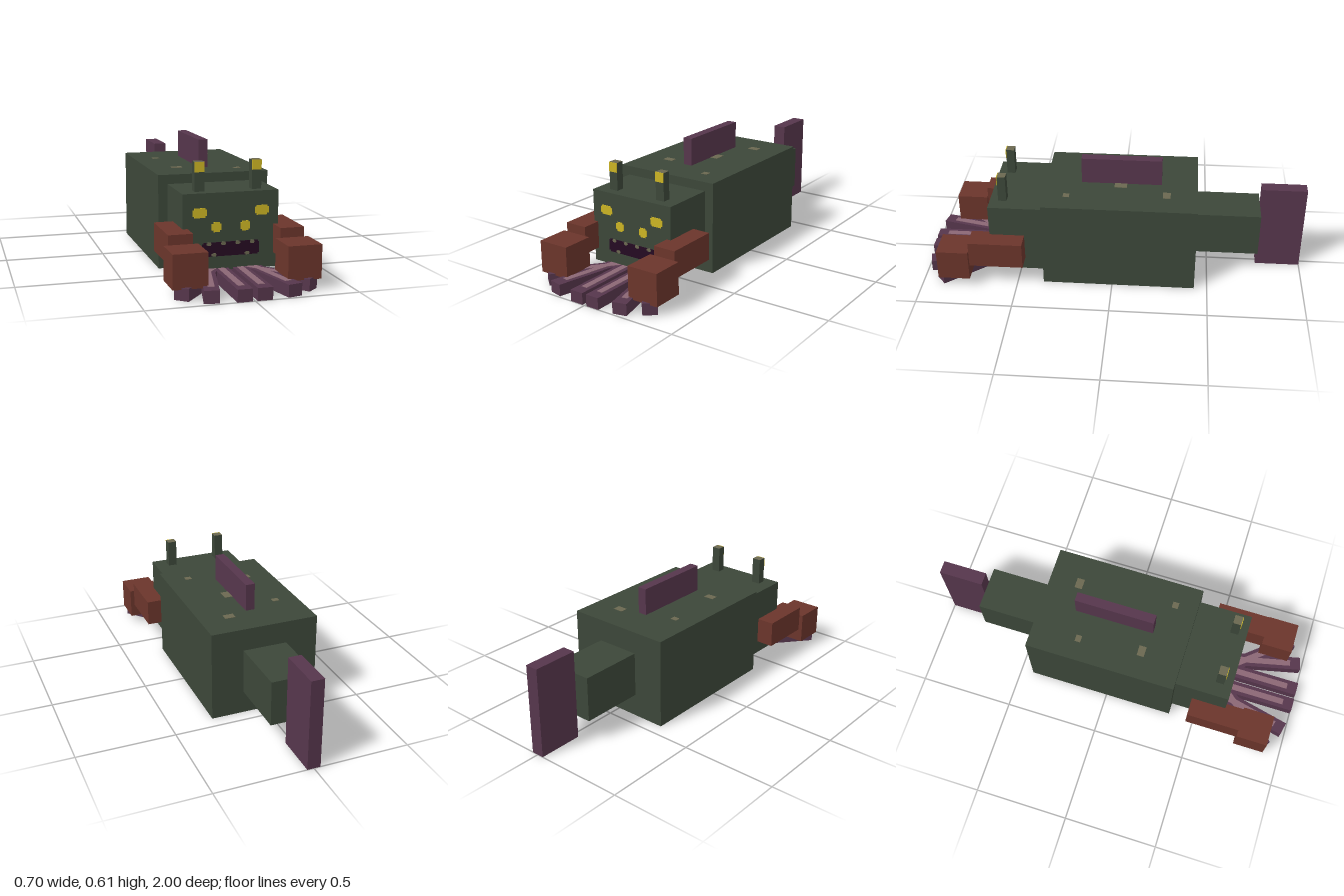
import * as THREE from 'three';

const mat = (name, color) => {
  const m = new THREE.MeshStandardMaterial({ color });
  m.name = name;
  return m;
};

export function createModel() {
  const green = mat('darkGreen', 0x3c4739);
  const purple = mat('purple', 0x56364c);
  const red = mat('rustRed', 0x6b352b);
  const yellow = mat('yellow', 0xccb524);
  const mouthDark = mat('mouthDark', 0x250b22);
  const tan = mat('tan', 0x6b6850);
  const pink = mat('mauvePink', 0x8a6674);

  const model = new THREE.Group();
  model.name = 'seaCreature';

  // Box from its extents; optional materials for top and bottom faces
  const box = (name, m, [x0, x1], [y0, y1], [z0, z1], { top = m, bottom = m, parent = model } = {}) => {
    const g = new THREE.BoxGeometry(x1 - x0, y1 - y0, z1 - z0);
    const mesh = new THREE.Mesh(g, top === m && bottom === m ? m : [m, m, top, bottom, m, m]);
    mesh.position.set((x0 + x1) / 2, (y0 + y1) / 2, (z0 + z1) / 2);
    mesh.name = name;
    parent.add(mesh);
    return mesh;
  };

  // Thin plate with notched corners, facing +z
  const plate = (name, m, cx, cy, w, h, notch, z) => {
    const a = w / 2, b = h / 2, n = notch;
    const pts = [[a, -b + n], [a, b - n], [a - n, b - n], [a - n, b], [-a + n, b], [-a + n, b - n],
      [-a, b - n], [-a, -b + n], [-a + n, -b + n], [-a + n, -b], [a - n, -b], [a - n, -b + n]];
    const shape = new THREE.Shape(pts.map(p => new THREE.Vector2(...p)));
    const mesh = new THREE.Mesh(new THREE.ExtrudeGeometry(shape, { depth: 0.003, bevelEnabled: false }), m);
    mesh.position.set(cx, cy, z);
    mesh.name = name;
    model.add(mesh);
  };

  // Trunk, head, tail and fins
  box('body', green, [-0.283, 0.283], [0, 0.47], [-0.432, 0.363], { bottom: tan });
  box('head', green, [-0.236, 0.236], [0.05, 0.424], [0.363, 0.645], { bottom: tan });
  box('tail', green, [-0.115, 0.115], [0.12, 0.354], [-0.765, -0.432], { bottom: tan });
  box('tailFin', purple, [-0.034, 0.034], [0, 0.47], [-1, -0.765]);
  box('backFin', purple, [-0.024, 0.024], [0.47, 0.612], [-0.243, 0.177]);

  // Spots on the back
  for (const [x, z, w, d] of [[-0.167, -0.182, 0.036, 0.03], [0.127, -0.272, 0.055, 0.04],
    [0.044, -0.03, 0.042, 0.065], [-0.135, 0.15, 0.055, 0.038], [0.16, 0.245, 0.034, 0.032]]) {
    box('backSpot', tan, [x - w / 2, x + w / 2], [0.468, 0.472], [z - d / 2, z + d / 2]);
  }

  // Mouth and teeth
  plate('mouth', mouthDark, 0, 0.153, 0.283, 0.068, 0.007, 0.644);
  for (const x of [-0.108, -0.036, 0.034, 0.106]) plate('upperTooth', tan, x, 0.18, 0.024, 0.016, 0.004, 0.646);
  for (const x of [-0.083, 0.081]) plate('lowerTooth', tan, x, 0.127, 0.024, 0.016, 0.004, 0.646);

  // Mirrored parts
  for (const s of [-1, 1]) {
    const side = s > 0 ? 'left' : 'right';
    const mx = (a, b) => (s > 0 ? [a, b] : [-b, -a]);

    plate(side + 'OuterEye', yellow, s * 0.153, 0.331, 0.07, 0.047, 0.008, 0.644);
    plate(side + 'InnerEye', yellow, s * 0.071, 0.26, 0.047, 0.048, 0.008, 0.644);

    box(side + 'Horn', green, mx(0.118, 0.165), [0.424, 0.565], [0.557, 0.6], { top: tan });
    box(side + 'HornTip', yellow, mx(0.118, 0.165), [0.517, 0.565], [0.599, 0.603]);

    box(side + 'Arm', red, mx(0.212, 0.33), [0.12, 0.259], [0.463, 0.743]);
    box(side + 'Fist', red, mx(0.188, 0.352), [0.05, 0.212], [0.743, 0.908]);

    // Fanned tentacles: end x, end z, outward angle in degrees, length
    for (const [x, z, deg, len] of [[0.047, 1, 0, 0.41], [0.195, 0.983, 13, 0.4], [0.312, 0.908, 40, 0.39]]) {
      const t = new THREE.Group();
      t.name = side + 'Tentacle';
      t.position.set(s * x, 0, z);
      t.rotation.y = s * THREE.MathUtils.degToRad(deg);
      box('tentacle', purple, [-0.0355, 0.0355], [0, 0.059], [-len, 0], { bottom: pink, parent: t });
      box('tentacleStripe', pink, [-0.016, 0.016], [0.058, 0.061], [-len + 0.02, -0.055], { parent: t });
      model.add(t);
    }
  }
  return model;
}
